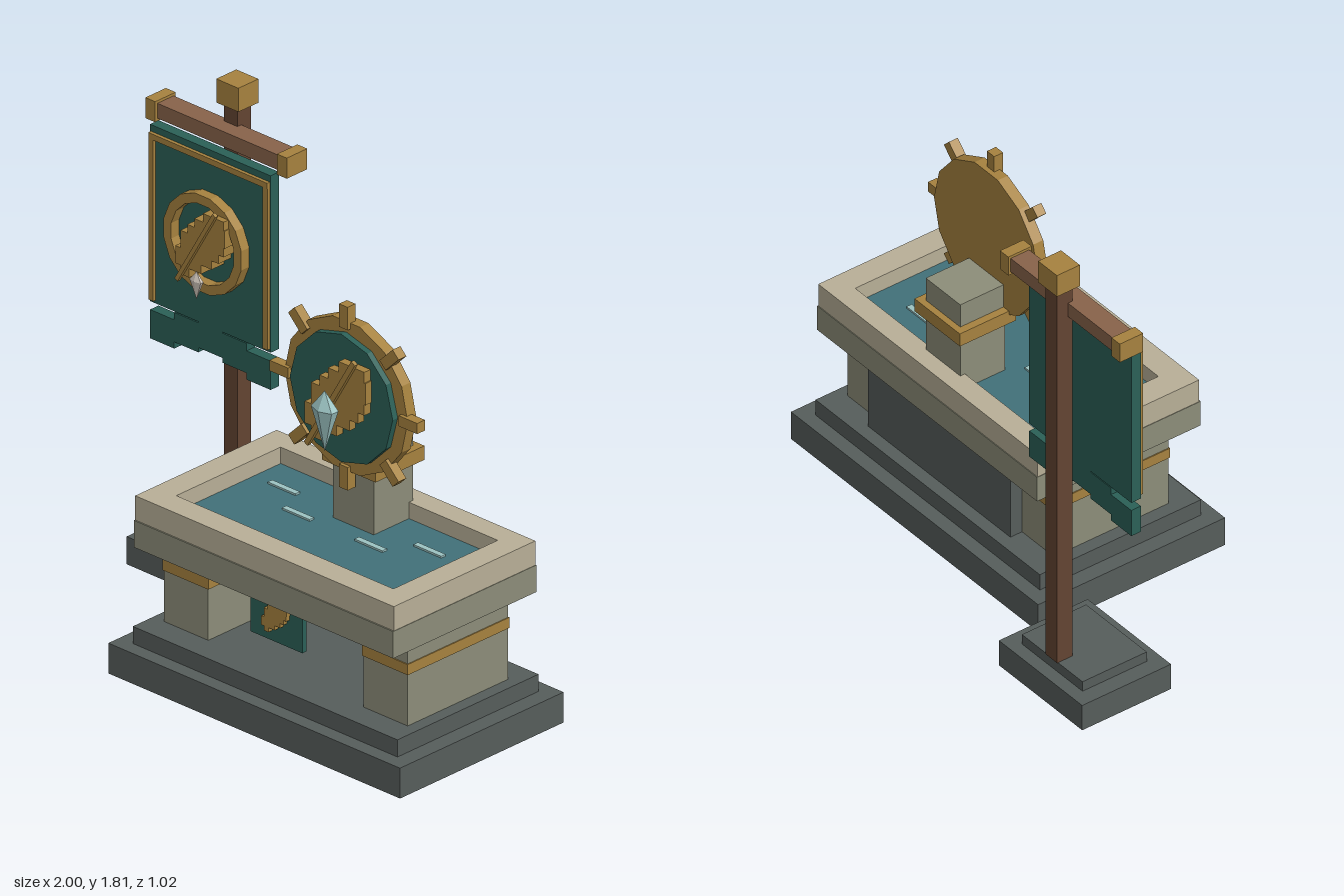
import * as THREE from 'three';

const mat = (name, color) => {
  const m = new THREE.MeshStandardMaterial({ color });
  m.name = name;
  return m;
};

export function createModel() {
  const M = {
    slate: mat('dark slate', 0x565d5b),
    stone: mat('grey stone', 0x8c8d79),
    rim: mat('pale stone', 0xb8af97),
    gold: mat('gold', 0xa6823f),
    green: mat('green cloth', 0x2b6057),
    water: mat('water', 0x417079),
    pole: mat('dark wood', 0x634432),
    wood: mat('light wood', 0x88634a),
    crystal: mat('pale blue crystal', 0x9cc3c2),
    pearl: mat('pale pearl', 0xcdc3b8),
  };
  const model = new THREE.Group();
  model.name = 'fountainAndBanner';

  const add = (parent, name, geo, material) => {
    const g = geo.index ? geo.toNonIndexed() : geo;
    g.computeVertexNormals(); // faceted look
    const mesh = new THREE.Mesh(g, material);
    mesh.name = name;
    parent.add(mesh);
    return mesh;
  };
  const group = (name, x = 0, y = 0, z = 0) => {
    const g = new THREE.Group();
    g.name = name;
    g.position.set(x, y, z);
    model.add(g);
    return g;
  };
  // Box given by its limits on each axis
  const box = (parent, name, material, x0, x1, y0, y1, z0, z1) => {
    const geo = new THREE.BoxGeometry(x1 - x0, y1 - y0, z1 - z0);
    geo.translate((x0 + x1) / 2, (y0 + y1) / 2, (z0 + z1) / 2);
    return add(parent, name, geo, material);
  };
  // Polygonal disc facing +z
  const disc = (parent, name, material, r, sides, z0, z1, turn = 0) => {
    const geo = new THREE.CylinderGeometry(r, r, z1 - z0, sides);
    geo.rotateX(Math.PI / 2).rotateZ(turn).translate(0, 0, (z0 + z1) / 2);
    return add(parent, name, geo, material);
  };
  // Stepped leaf: outline built from rows [left, right], top to bottom
  const rows = [[0.03, 0.15], [-0.02, 0.155], [-0.06, 0.155], [-0.1, 0.15],
    [-0.1, 0.12], [-0.13, 0.08], [-0.13, 0.02], [-0.1, -0.05]];
  const leaf = (parent, s, z0, z1) => {
    const top = 0.165, h = 0.041, pts = [];
    rows.forEach(([l], i) => pts.push([l, top - i * h], [l, top - (i + 1) * h]));
    [...rows].reverse().forEach(([, r], k) => {
      const i = rows.length - 1 - k;
      pts.push([r, top - (i + 1) * h], [r, top - i * h]);
    });
    const shape = new THREE.Shape(pts.map(([x, y]) => new THREE.Vector2(x * s, y * s)));
    const geo = new THREE.ExtrudeGeometry(shape, { depth: z1 - z0, bevelEnabled: false });
    add(parent, 'steppedLeaf', geo.translate(0, 0, z0), M.gold);
  };
  const needle = (parent, s, z0, z1) => {
    const m = box(parent, 'leafVein', M.gold, -0.01 * s, 0.01 * s, -0.22 * s, 0.22 * s, z0, z1);
    m.rotation.z = -0.53;
  };
  // Faceted gem with a short top point and a long lower point
  const gem = (parent, name, material, r, rz, yTop, yMid, yLow, x, z) => {
    const up = new THREE.ConeGeometry(r, yTop - yMid, 6, 1, true);
    up.translate(0, (yTop - yMid) / 2, 0);
    const down = new THREE.ConeGeometry(r, yMid - yLow, 6, 1, true);
    down.rotateZ(Math.PI).translate(0, (yLow - yMid) / 2, 0);
    [up, down].forEach((g, i) => {
      g.scale(1, 1, rz / r).translate(x, yMid, z);
      add(parent, name + (i ? 'Lower' : 'Upper'), g, material);
    });
  };

  // Stepped plinth
  const fountain = group('fountain');
  box(fountain, 'plinth', M.slate, -0.37, 1, 0, 0.115, -0.29, 0.51);
  box(fountain, 'plinthStep', M.slate, -0.308, 0.935, 0.115, 0.18, -0.235, 0.455);

  // Legs with gold bands, and the rear wall between them
  for (const [x0, x1] of [[-0.257, -0.05], [0.68, 0.887]]) {
    box(fountain, 'leg', M.stone, x0, x1, 0.18, 0.486, -0.135, 0.355);
    box(fountain, 'legBand', M.gold, x0 - 0.004, x1 + 0.004, 0.375, 0.415, -0.139, 0.359);
  }
  box(fountain, 'rearWall', M.slate, -0.08, 0.71, 0.18, 0.486, -0.185, -0.02);

  // Basin with a raised rim
  box(fountain, 'basinSlab', M.stone, -0.297, 0.922, 0.486, 0.588, -0.238, 0.462);
  for (const [x0, x1] of [[-0.295, -0.195], [0.825, 0.92]])
    box(fountain, 'rimSide', M.rim, x0, x1, 0.588, 0.68, -0.235, 0.457);
  for (const [z0, z1] of [[-0.235, -0.15], [0.36, 0.457]])
    box(fountain, 'rimEnd', M.rim, -0.195, 0.825, 0.588, 0.68, z0, z1);
  box(fountain, 'water', M.water, -0.195, 0.825, 0.588, 0.618, -0.15, 0.36);
  for (const [x, z] of [[-0.055, -0.02], [0.63, -0.02], [0.115, 0.088], [0.457, 0.088]])
    box(fountain, 'ripple', M.crystal, x - 0.065, x + 0.065, 0.618, 0.625, z - 0.011, z + 0.011);

  // Hanging plaque under the basin
  const plaque = group('plaque', 0.313, 0.42, 0.38);
  box(plaque, 'plaqueCloth', M.green, -0.122, 0.122, -0.105, 0.066, 0, 0.02);
  leaf(plaque, 0.42, 0.02, 0.037);

  // Pedestal behind the wheel
  box(fountain, 'pedestal', M.stone, 0.217, 0.408, 0.618, 0.982, -0.17, 0.022);
  box(fountain, 'pedestalBand', M.gold, 0.187, 0.438, 0.835, 0.888, -0.195, 0.045);

  // Spoked wheel emblem
  const wheel = group('wheel', 0.313, 1.125, 0);
  disc(wheel, 'wheelDisc', M.gold, 0.289, 14, 0.015, 0.058, Math.PI / 14);
  disc(wheel, 'wheelFace', M.green, 0.242, 12, 0.058, 0.082);
  for (let i = 0; i < 8; i++) {
    const peg = box(wheel, 'wheelPeg', M.gold, -0.02, 0.02, 0.26, 0.347, 0.034, 0.072);
    peg.rotation.z = i * Math.PI / 4;
  }
  leaf(wheel, 1, 0.095, 0.126);
  needle(wheel, 1, 0.126, 0.141);
  gem(wheel, 'wheelGem', M.crystal, 0.056, 0.034, 0.058, -0.01, -0.172, 0, 0.163);

  // Banner stand
  const stand = group('bannerStand', -0.668, 0, 0);
  box(stand, 'standBase', M.slate, -0.231, 0.231, 0, 0.105, -0.51, -0.13);
  box(stand, 'standStep', M.slate, -0.168, 0.168, 0.105, 0.145, -0.46, -0.185);
  box(stand, 'pole', M.pole, -0.032, 0.032, 0.145, 1.72, -0.464, -0.398);
  box(stand, 'finial', M.gold, -0.052, 0.052, 1.72, 1.81, -0.48, -0.382);
  box(stand, 'crossbar', M.wood, -0.288, 0.288, 1.595, 1.652, -0.417, -0.338);
  for (const s of [-1, 1])
    box(stand, 'crossbarCap', M.gold, s * 0.309 - 0.023, s * 0.309 + 0.023, 1.584, 1.662, -0.427, -0.327);

  // Cloth with ragged tails
  box(stand, 'cloth', M.green, -0.283, 0.283, 0.918, 1.588, -0.34, -0.299);
  box(stand, 'middleTail', M.green, -0.057, 0.057, 0.82, 0.918, -0.34, -0.299);
  for (const s of [-1, 1]) {
    const span = (a, b) => (s > 0 ? [a, b] : [-b, -a]);
    box(stand, 'innerTail', M.green, ...span(0.057, 0.17), 0.802, 0.914, -0.34, -0.299);
    box(stand, 'outerTail', M.green, ...span(0.17, 0.283), 0.777, 0.886, -0.34, -0.299);
    box(stand, 'sideTrim', M.gold, ...span(0.257, 0.279), 0.93, 1.56, -0.299, -0.287);
  }
  box(stand, 'topTrim', M.gold, -0.279, 0.279, 1.541, 1.563, -0.299, -0.286);

  // Ring emblem on the cloth
  const emblem = group('bannerEmblem', -0.668, 1.245, 0);
  const polygon = (r) => Array.from({ length: 16 }, (_, i) => {
    const a = (i + 0.5) * Math.PI / 8;
    return new THREE.Vector2(r * Math.cos(a), r * Math.sin(a));
  });
  const ring = new THREE.Shape(polygon(0.186));
  ring.holes.push(new THREE.Path(polygon(0.15)));
  const ringGeo = new THREE.ExtrudeGeometry(ring, { depth: 0.04, bevelEnabled: false });
  add(emblem, 'emblemRing', ringGeo.translate(0, 0, -0.3), M.gold);
  leaf(emblem, 0.81, -0.299, -0.237);
  needle(emblem, 0.8, -0.237, -0.223);
  gem(emblem, 'emblemGem', M.pearl, 0.03, 0.014, -0.09, -0.125, -0.195, 0.003, -0.228);

  return model;
}
